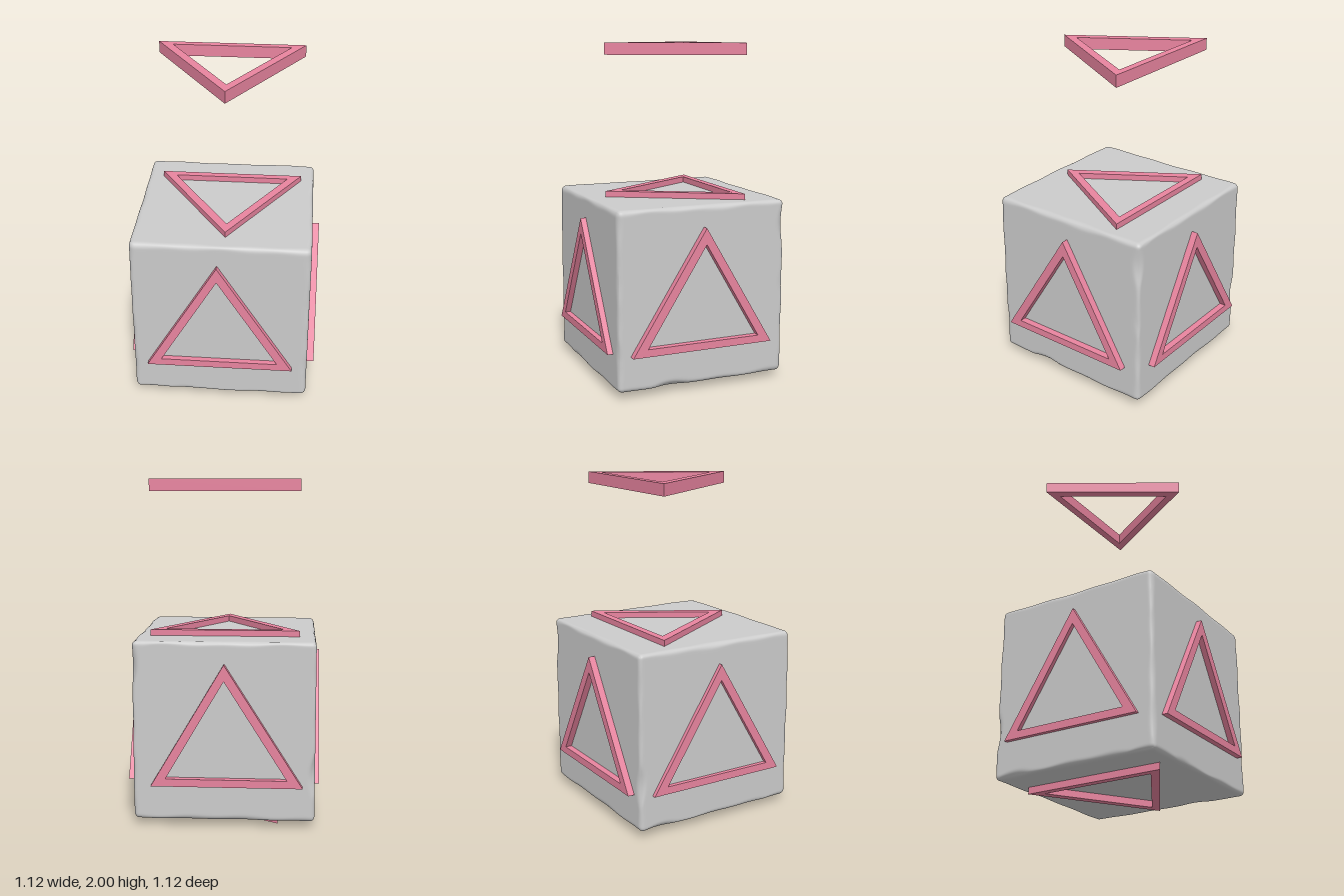
import * as THREE from 'three';
import { mergeVertices } from 'three/addons/utils/BufferGeometryUtils.js';

const stone = new THREE.MeshStandardMaterial({ color: 0xcccccc });
const pink = new THREE.MeshStandardMaterial({ color: 0xe8849f });

// Stone cube whose bevel radius wanders along the edges, with a few deeper chips
function wornCube(w, h, d) {
  const geo = new THREE.BoxGeometry(2, 2, 2, 64, 64, 64);
  geo.deleteAttribute('uv');
  geo.deleteAttribute('normal');
  const half = new THREE.Vector3(w / 2, h / 2, d / 2);
  const pos = geo.attributes.position;
  const p = new THREE.Vector3(), inner = new THREE.Vector3(), limit = new THREE.Vector3();
  // crowd the grid lines towards the edges
  const crowd = (t) => Math.sign(t) * (1 - Math.pow(1 - Math.min(1, Math.abs(t)), 2));
  for (let i = 0; i < pos.count; i++) {
    p.fromBufferAttribute(pos, i);
    p.set(crowd(p.x), crowd(p.y), crowd(p.z)).multiply(half);
    const wave = Math.sin(19 * p.x + 7 * p.y + 1) + Math.sin(23 * p.y - 9 * p.z + 2) + Math.sin(21 * p.z + 8 * p.x);
    const chip = Math.max(0, Math.sin(9 * p.x + 4 * p.z + 2) * Math.sin(11 * p.z - 5 * p.y) * Math.sin(10 * p.y + 6 * p.x + 1) - 0.3);
    const r = 0.026 + 0.004 * wave + 0.04 * chip;
    limit.copy(half).subScalar(r);
    inner.copy(p).clamp(limit.clone().negate(), limit);
    p.sub(inner).setLength(r).add(inner);
    pos.setXYZ(i, p.x, p.y, p.z);
  }
  const merged = mergeVertices(geo, 1e-5);
  merged.computeVertexNormals();
  return merged;
}

// Triangular frame standing on the middle of its base; lean shifts the apex sideways
function frameGeometry(lean) {
  const shape = new THREE.Shape([
    new THREE.Vector2(-0.4375, 0), new THREE.Vector2(0.4375, 0), new THREE.Vector2(lean, 0.715)]);
  shape.holes.push(new THREE.Path([
    new THREE.Vector2(-0.35 + lean * 0.15, 0.045), new THREE.Vector2(lean, 0.62), new THREE.Vector2(0.35 + lean * 0.15, 0.045)]));
  const geo = new THREE.ExtrudeGeometry(shape, { depth: 0.07, bevelEnabled: false });
  return geo.translate(0, 0, -0.035);
}

export function createModel() {
  const model = new THREE.Group();
  model.name = 'stoneCubeWithTriangles';

  const cube = new THREE.Mesh(wornCube(1.05, 1.05, 1.046), stone);
  cube.name = 'stoneCube';
  cube.position.set(-0.01, 0.565, 0.003);
  model.add(cube);

  // name, base centre, apex direction, outward direction, lean
  const frames = [
    ['frontTriangle', [-0.0125, 0.25, 0.525], [0, 1, 0], [0, 0, 1], -0.015],
    ['backTriangle', [-0.0275, 0.25, -0.525], [0, 1, 0], [0, 0, -1], -0.015],
    ['leftTriangle', [0.522, 0.25, 0.015], [0, 1, 0], [1, 0, 0], 0.015],
    ['rightTriangle', [-0.525, 0.25, -0.0025], [0, 1, 0], [-1, 0, 0], 0.015],
    ['topTriangle', [-0.0025, 1.09, -0.302], [0, 0, 1], [0, 1, 0], -0.015],
    ['bottomTriangle', [-0.322, 0.035, -0.0025], [1, 0, 0], [0, -1, 0], -0.015],
    ['floatingTriangle', [-0.0025, 1.965, -0.302], [0, 0, 1], [0, 1, 0], -0.015],
  ];
  for (const [name, base, apex, out, lean] of frames) {
    const y = new THREE.Vector3(...apex), z = new THREE.Vector3(...out);
    const x = new THREE.Vector3().crossVectors(y, z);
    const mesh = new THREE.Mesh(frameGeometry(lean), pink);
    mesh.name = name;
    mesh.quaternion.setFromRotationMatrix(new THREE.Matrix4().makeBasis(x, y, z));
    mesh.position.set(...base);
    model.add(mesh);
  }
  return model;
}
